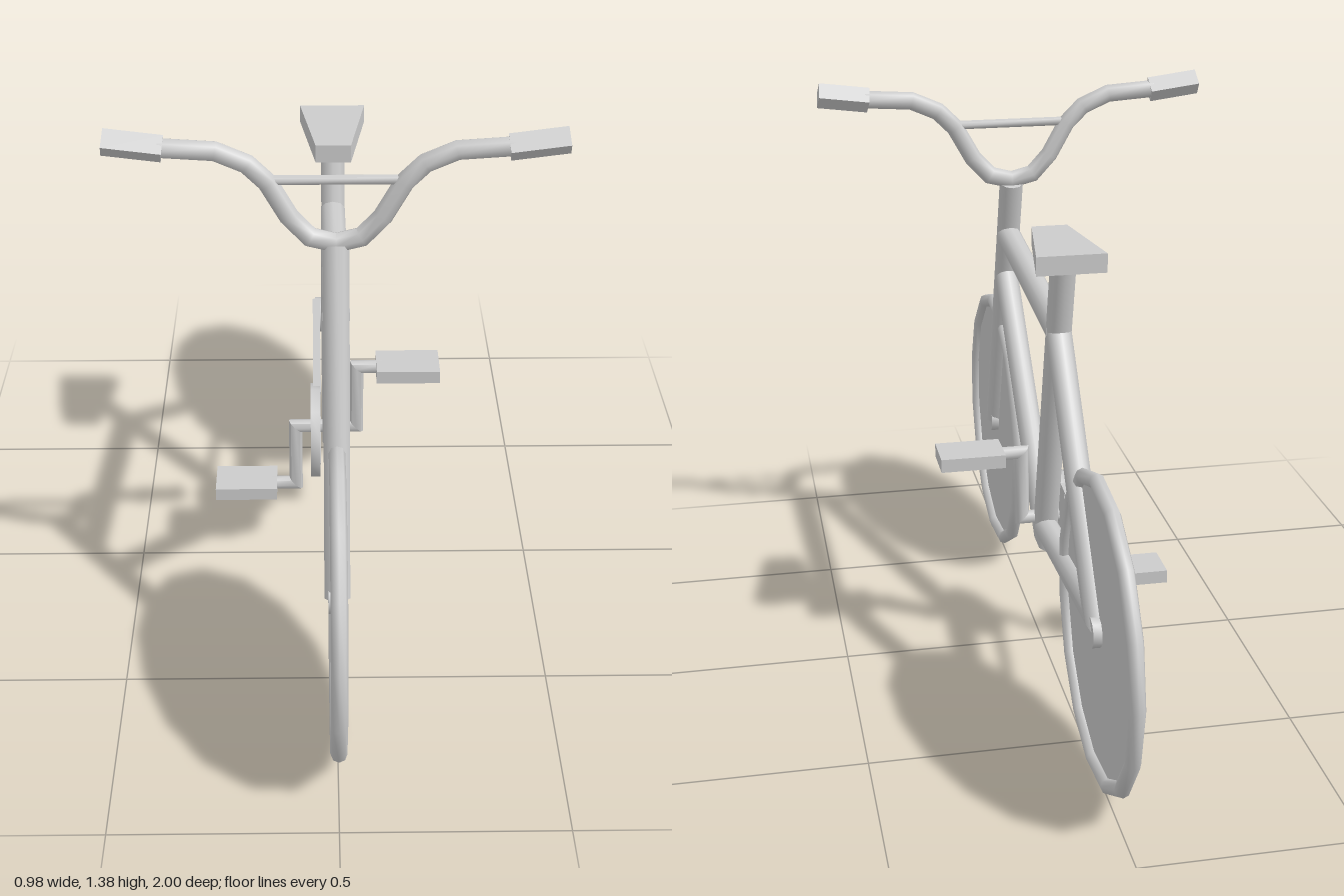
import * as THREE from 'three';
import { toCreasedNormals } from 'three/addons/utils/BufferGeometryUtils.js';

const material = new THREE.MeshStandardMaterial({ color: 0xcccccc });
const thinMaterial = new THREE.MeshStandardMaterial({ color: 0xcccccc, side: THREE.DoubleSide });

function add(parent, name, geometry, x = 0, y = 0, z = 0, mat = material) {
  const mesh = new THREE.Mesh(geometry, mat);
  mesh.name = name;
  mesh.position.set(x, y, z);
  parent.add(mesh);
  return mesh;
}

// Capped tube with mitred corners along a path of [x, y] points
function mitredTube(path, radius, sides = 10) {
  const pts = path.map(([x, y]) => new THREE.Vector2(x, y));
  const dirs = pts.slice(1).map((p, i) => p.clone().sub(pts[i]).normalize());
  const position = [], index = [];
  pts.forEach((p, i) => {
    const before = dirs[Math.max(i - 1, 0)];
    const after = dirs[Math.min(i, dirs.length - 1)];
    const tangent = before.clone().add(after).normalize();
    const stretch = radius / tangent.dot(after);
    for (let j = 0; j < sides; j++) {
      const a = (j / sides) * Math.PI * 2;
      const n = Math.cos(a) * stretch;
      position.push(p.x - tangent.y * n, p.y + tangent.x * n, Math.sin(a) * radius);
    }
  });
  const last = pts.length - 1, centre = pts.length * sides;
  for (const p of [pts[0], pts[last]]) position.push(p.x, p.y, 0);
  for (let j = 0; j < sides; j++) {
    const k = (j + 1) % sides;
    for (let i = 0; i < last; i++) {
      const a = i * sides, b = a + sides;
      index.push(a + j, a + k, b + j, a + k, b + k, b + j);
    }
    index.push(centre, k, j, centre + 1, last * sides + j, last * sides + k);
  }
  const geometry = new THREE.BufferGeometry();
  geometry.setAttribute('position', new THREE.Float32BufferAttribute(position, 3));
  geometry.setIndex(index);
  return toCreasedNormals(geometry, 0.9);
}

// Disc whose axis is z
function disc(radius, depth, sides) {
  return toCreasedNormals(new THREE.CylinderGeometry(radius, radius, depth, sides).rotateX(Math.PI / 2), 0.75);
}

function createWheel(name, x) {
  const wheel = new THREE.Group();
  wheel.name = name;
  wheel.position.set(x, 0.362, 0);
  wheel.rotation.z = Math.PI;
  add(wheel, 'tyre', new THREE.TorusGeometry(0.342, 0.018, 8, 15));
  add(wheel, 'wheelDisc', new THREE.CircleGeometry(0.342, 15), 0, 0, 0, thinMaterial);
  add(wheel, 'hub', disc(0.035, 0.04, 10));
  return wheel;
}

export function createModel() {
  const model = new THREE.Group();
  model.name = 'bicycle';

  // Side-profile parts: local x runs to the front, local z to the model's right
  const side = new THREE.Group();
  side.name = 'sideProfile';
  side.rotation.y = -Math.PI / 2;
  model.add(side);

  side.add(createWheel('frontWheel', 0.652), createWheel('rearWheel', -0.64));

  // Frame
  add(side, 'fork', mitredTube([[0.652, 0.365], [0.4, 1.11]], 0.03));
  add(side, 'topTube', mitredTube([[0.44, 0.957], [-0.2, 0.905]], 0.031));
  add(side, 'downAndSeatTube', mitredTube([[0.475, 0.835], [-0.045, 0.335], [-0.25, 1.09]], 0.03));
  add(side, 'rearStays', mitredTube([[-0.195, 0.91], [-0.612, 0.386], [-0.04, 0.345]], 0.03));

  // Saddle
  const outline = new THREE.Shape([[-0.34, -0.08], [-0.09, -0.042], [-0.09, 0.042], [-0.34, 0.08]]
    .map(([x, y]) => new THREE.Vector2(x, y)));
  const saddle = new THREE.ExtrudeGeometry(outline, { depth: 0.044, bevelEnabled: false });
  add(side, 'saddle', saddle.rotateX(-Math.PI / 2), 0, 1.082, 0);

  // Drive train on the right-hand side
  add(side, 'chainring', disc(0.119, 0.024, 10), -0.037, 0.362, 0.046);
  add(side, 'rearSprocket', disc(0.05, 0.024, 10), -0.64, 0.365, 0.034);
  for (const [y0, y1] of [[0.469, 0.412], [0.255, 0.318]]) {
    const run = add(side, 'chainRun', new THREE.BoxGeometry(Math.hypot(0.6, y1 - y0), 0.006, 0.02),
      -0.34, (y0 + y1) / 2, 0.042);
    run.rotation.z = Math.atan2(y0 - y1, 0.6);
  }

  // Cranks and pedals
  add(model, 'cranks', mitredTube([[0.12, 0.545], [0.058, 0.545], [0.058, 0.371],
    [-0.097, 0.371], [-0.097, 0.197], [-0.16, 0.197]], 0.017, 8), 0, 0, -0.043);
  add(model, 'leftPedal', new THREE.BoxGeometry(0.157, 0.033, 0.107), 0.185, 0.545, -0.041);
  add(model, 'rightPedal', new THREE.BoxGeometry(0.157, 0.033, 0.107), -0.225, 0.197, -0.041);

  // Handlebar
  const half = [[0.055, 1.13], [0.099, 1.178], [0.143, 1.257], [0.186, 1.3], [0.252, 1.329], [0.37, 1.337]];
  const mirrored = half.map(([x, y]) => [-x, y]).reverse();
  const bars = new THREE.Group();
  bars.name = 'handlebar';
  bars.position.z = 0.402;
  model.add(bars);
  add(bars, 'bar', mitredTube([...mirrored, [0, 1.116], ...half], 0.022, 8));
  add(bars, 'crossbar', mitredTube([[-0.13, 1.263], [0.13, 1.263]], 0.011, 8));
  for (const s of [-1, 1]) {
    add(bars, s > 0 ? 'leftGrip' : 'rightGrip', mitredTube([[s * 0.36, 1.335], [s * 0.484, 1.351]], 0.031, 4));
  }
  return model;
}
